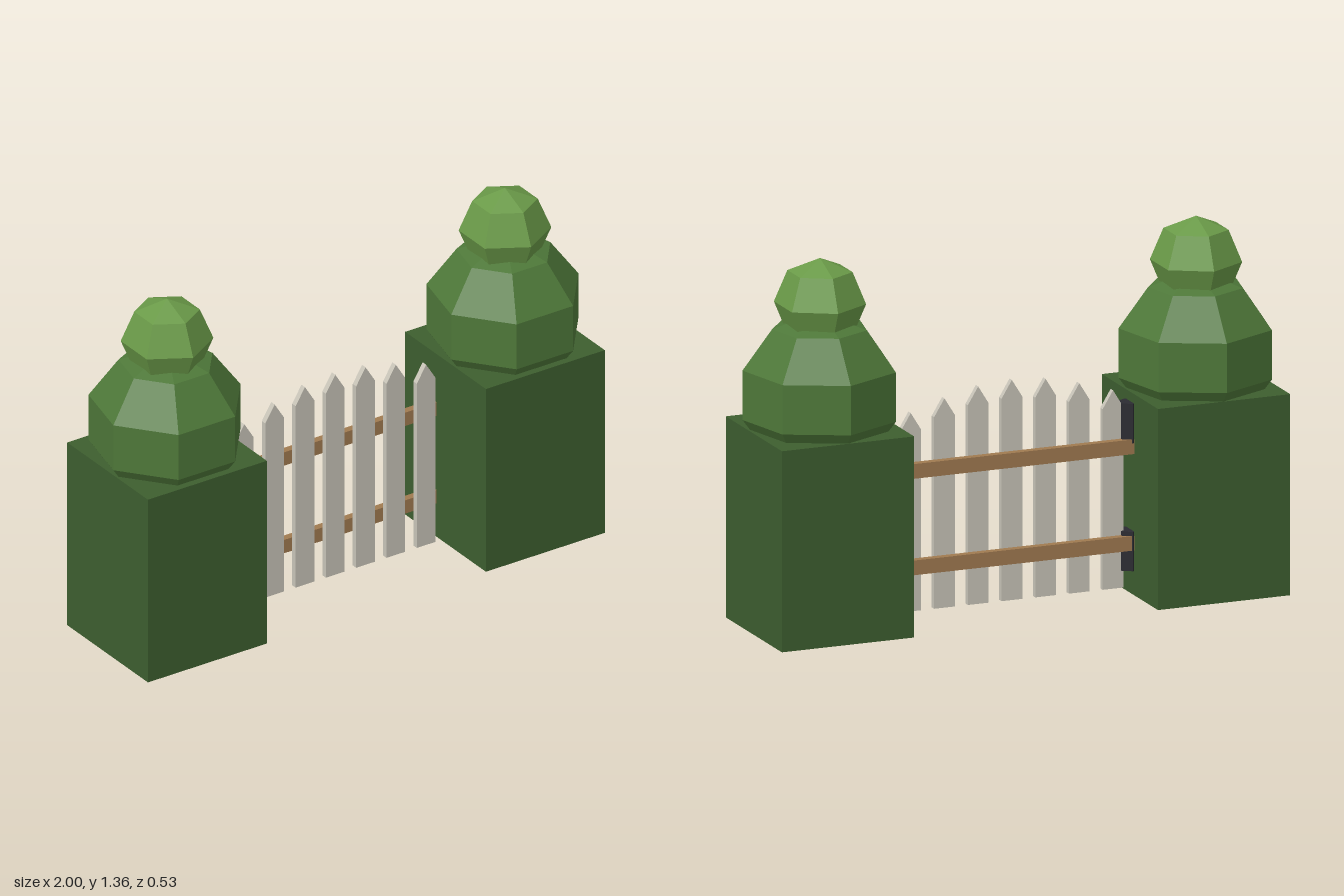
import * as THREE from 'three';

const mat = (color) => new THREE.MeshStandardMaterial({ color, flatShading: true });

function add(parent, name, geometry, material, x, y, z) {
  const mesh = new THREE.Mesh(geometry, material);
  mesh.name = name;
  mesh.position.set(x, y, z);
  parent.add(mesh);
  return mesh;
}

// Faceted ball of foliage with one corner pointing to the back
const ball = (r, sides, rings) =>
  new THREE.SphereGeometry(r, sides, rings).rotateY(-Math.PI / 2);

// Pointed board standing on y = 0, its back face at z = 0
function picketGeometry(width, height, depth) {
  const w = width / 2;
  const shoulder = height - 0.065;
  const shape = new THREE.Shape([
    new THREE.Vector2(-w, 0),
    new THREE.Vector2(w, 0),
    new THREE.Vector2(w, shoulder),
    new THREE.Vector2(0, height),
    new THREE.Vector2(-w, shoulder),
  ]);
  return new THREE.ExtrudeGeometry(shape, { depth, bevelEnabled: false });
}

export function createModel() {
  const model = new THREE.Group();
  model.name = 'hedgeGate';

  const hedgeDark = mat(0x3d5e2f);
  const hedgeMid = mat(0x4e7839);
  const hedgeLight = mat(0x6a9a48);
  const wood = mat(0xa07a50);
  const paint = mat(0xc8c4b8);
  const iron = mat(0x2b2b32);

  // Clipped hedge pillars on both sides
  for (const [name, x] of [['leftHedge', 0.725], ['rightHedge', -0.725]]) {
    const hedge = new THREE.Group();
    hedge.name = name;
    hedge.position.set(x, 0, 0.012);
    add(hedge, 'hedgeBlock', new THREE.BoxGeometry(0.51, 0.74, 0.51), hedgeDark, 0, 0.37, 0);
    add(hedge, 'lowerBall', ball(0.294, 7, 5), hedgeMid, 0, 0.868, 0);
    add(hedge, 'topBall', ball(0.165, 6, 4), hedgeLight, 0, 1.195, 0);
    model.add(hedge);
  }

  const gate = new THREE.Group();
  gate.name = 'gate';
  model.add(gate);

  // Pickets, with tips following a gentle arch
  const tips = [0.755, 0.795, 0.825, 0.835, 0.825, 0.795, 0.755];
  tips.forEach((tip, i) => {
    add(gate, 'picket', picketGeometry(0.08, tip - 0.025, 0.022), paint, -0.4 + i * 0.13, 0.025, 0);
  });

  // Cross rails behind the pickets, each with a hinge on the right hedge
  for (const [railY, hingeY] of [[0.192, 0.162], [0.547, 0.633]]) {
    add(gate, 'rail', new THREE.BoxGeometry(0.91, 0.054, 0.028), wood, -0.015, railY, -0.014);
    add(gate, 'hinge', new THREE.CylinderGeometry(0.04, 0.04, 0.145, 6), iron, -0.465, hingeY, 0.01);
  }

  return model;
}
